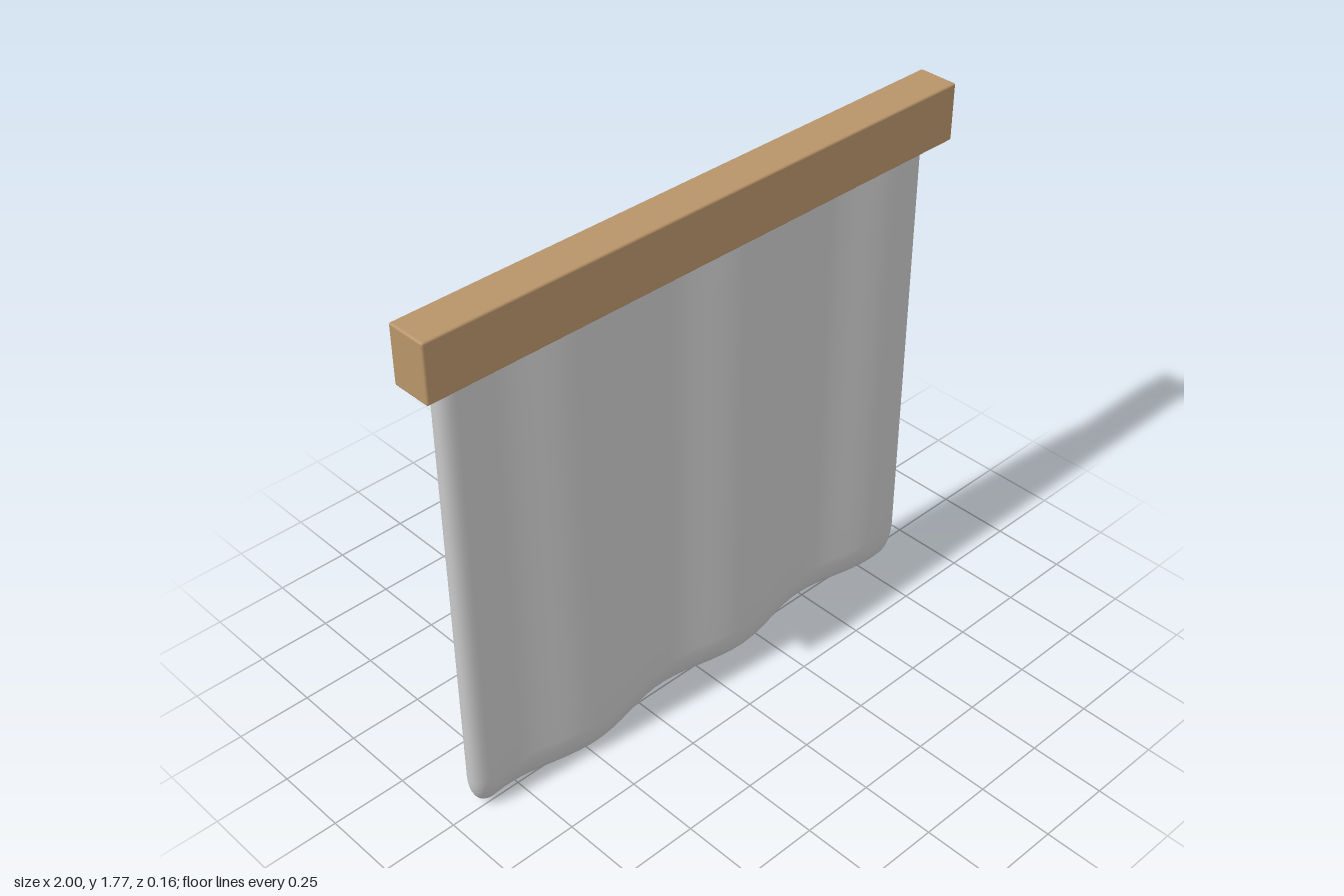
import * as THREE from 'three';
import { mergeVertices } from 'three/addons/utils/BufferGeometryUtils.js';
import { RoundedBoxGeometry } from 'three/addons/geometries/RoundedBoxGeometry.js';

const wood = new THREE.MeshStandardMaterial({ color: 0xb89469 });
wood.name = 'wood';
const cloth = new THREE.MeshStandardMaterial({ color: 0xc8c8c8 });
cloth.name = 'cloth';

// Gather grid lines: the outer `edge` segments cover just the rounded band of width r
function bandWarp(value, half, r, segments, edge) {
  const i = Math.abs(value / half) * (segments / 2); // 0 centre .. segments/2 rim
  const inner = segments / 2 - edge;
  const a = i <= inner ? (i / inner) * (half - r) : half - r + ((i - inner) / edge) * r;
  return Math.sign(value) * a;
}

// Thick, softly rounded sheet with vertical folds
function clothGeometry() {
  const half = new THREE.Vector3(0.92, 0.85, 0.05);
  const r = new THREE.Vector3(0.08, 0.12, 0.05);
  const inner = half.clone().sub(r);
  const [nx, ny, nz] = [48, 20, 8];
  let geo = new THREE.BoxGeometry(half.x * 2, half.y * 2, half.z * 2, nx, ny, nz);
  geo.deleteAttribute('normal');
  geo.deleteAttribute('uv');
  geo = mergeVertices(geo, 1e-5);
  const pos = geo.attributes.position;
  const p = new THREE.Vector3(), q = new THREE.Vector3(), d = new THREE.Vector3();
  for (let i = 0; i < pos.count; i++) {
    p.fromBufferAttribute(pos, i);
    p.x = bandWarp(p.x, half.x, r.x, nx, 5);
    p.y = bandWarp(p.y, half.y, r.y, ny, 5);
    // Round the rim
    q.copy(p).clamp(inner.clone().negate(), inner);
    d.copy(p).sub(q).divide(r);
    const reach = Math.max(Math.abs(d.x), Math.abs(d.y), Math.abs(d.z));
    if (reach > 0) d.setLength(reach);
    p.copy(q).add(d.multiply(r));
    // Folds
    p.z += -0.004 - 0.024 * Math.cos((2 * Math.PI * (p.x + 0.15)) / 0.635);
    pos.setXYZ(i, p.x, p.y + half.y, p.z);
  }
  geo.computeVertexNormals();
  return geo;
}

export function createModel() {
  const group = new THREE.Group();
  group.name = 'hangingCloth';

  // Wooden rail across the top
  const rail = new THREE.Mesh(new RoundedBoxGeometry(2, 0.19, 0.135, 2, 0.007), wood);
  rail.name = 'rail';
  rail.position.set(0, 1.673, 0.0125);
  group.add(rail);

  // Cloth panel, its top edge tucked into the rail
  const panel = new THREE.Mesh(clothGeometry(), cloth);
  panel.name = 'clothPanel';
  group.add(panel);

  return group;
}
